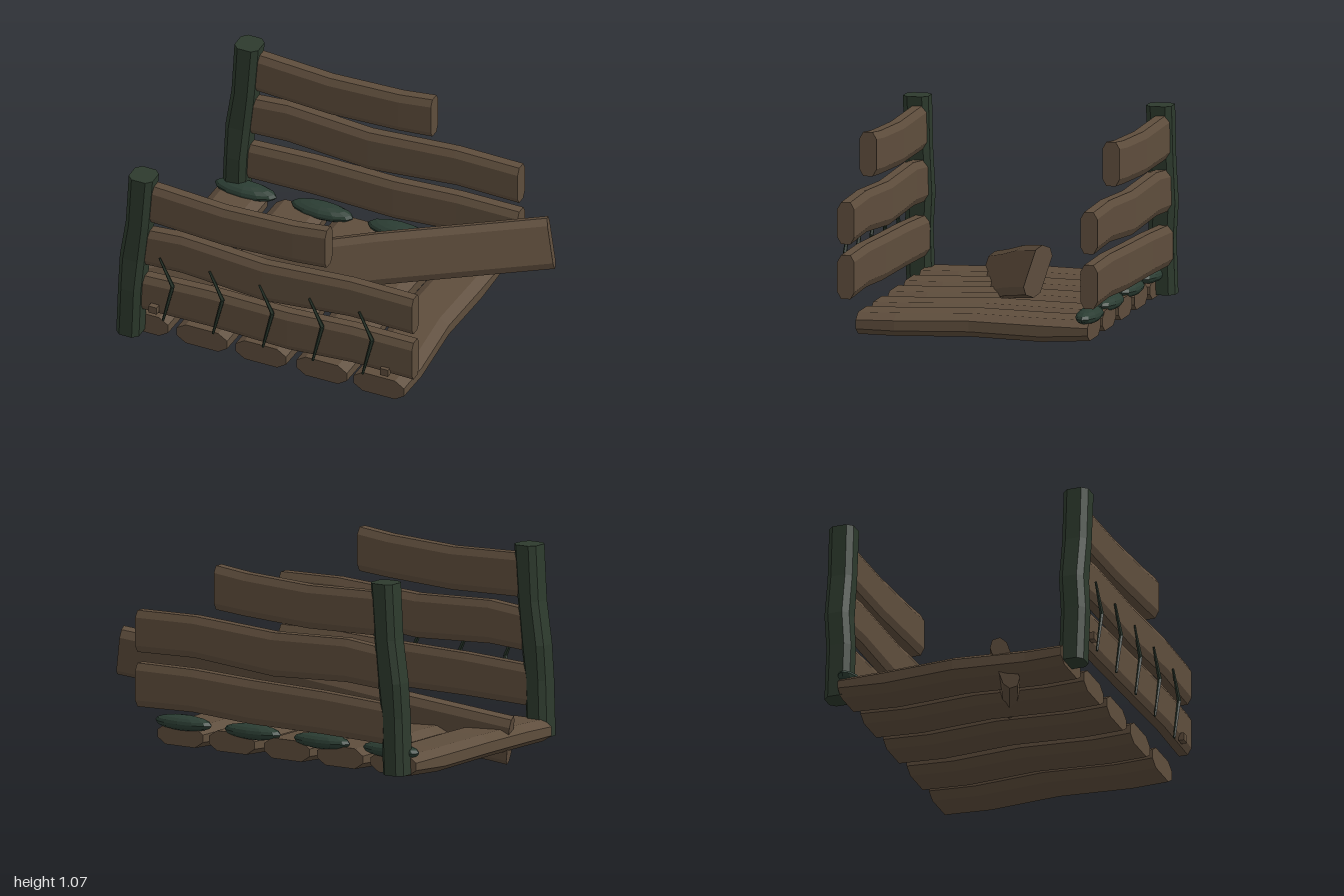
import * as THREE from 'three';

const mat = (name, color) => {
  const m = new THREE.MeshStandardMaterial({ color, flatShading: true });
  m.name = name;
  return m;
};

// Chamfered beam along local x. stations: [x, yCentre, zCentre, halfHeight]
function beam(stations, halfZ, chamferY, chamferZ) {
  const ring = ([x, cy, cz, h]) => {
    const a = h - chamferY, b = halfZ - chamferZ;
    return [[h, -b], [h, b], [a, halfZ], [-a, halfZ], [-h, b], [-h, -b], [-a, -halfZ], [a, -halfZ]]
      .map(([y, z]) => [x, cy + y, cz + z]);
  };
  const rings = stations.map(ring), pos = [];
  const tri = (a, b, c) => pos.push(...a, ...b, ...c);
  for (let i = 0; i < rings.length - 1; i++) {
    for (let j = 0; j < 8; j++) {
      const k = (j + 1) % 8, p = rings[i], q = rings[i + 1];
      tri(p[j], p[k], q[k]);
      tri(p[j], q[k], q[j]);
    }
  }
  const first = rings[0], last = rings[rings.length - 1];
  for (let j = 1; j < 7; j++) {
    tri(first[0], first[j + 1], first[j]);
    tri(last[0], last[j], last[j + 1]);
  }
  const g = new THREE.BufferGeometry();
  g.setAttribute('position', new THREE.Float32BufferAttribute(pos, 3));
  g.computeVertexNormals();
  return g;
}

export function createModel() {
  const wood = mat('weathered wood', 0x5e4d3c);
  const postWood = mat('mossy post', 0x2d3a2d);
  const moss = mat('moss', 0x2b3d33);
  const vine = mat('vine', 0x27352a);

  const model = new THREE.Group();
  model.name = 'brokenFence';
  const add = (parent, name, geometry, material) => {
    const m = new THREE.Mesh(geometry, material);
    m.name = name;
    parent.add(m);
    return m;
  };

  // Fence sides: one post and three warped rails each
  const rails = {
    lowerRail: [[-0.86, 0.365, -0.015, 0.103], [-0.45, 0.38, -0.01, 0.108], [0, 0.383, 0.005, 0.112],
      [0.35, 0.403, 0, 0.109], [0.69, 0.398, -0.002, 0.112]],
    middleRail: [[-0.86, 0.645, -0.015, 0.105], [-0.6, 0.665, -0.01, 0.11], [-0.14, 0.643, 0.005, 0.112],
      [0.34, 0.68, 0, 0.106], [0.69, 0.673, -0.002, 0.107]],
    upperRail: [[-0.84, 0.928, -0.015, 0.112], [-0.36, 0.912, 0, 0.11], [0.03, 0.93, 0.005, 0.11],
      [0.21, 0.948, 0.002, 0.113]],
  };
  const postStations = [[0.11, 0.89, 0, 0.063], [0.4, 0.877, 0.006, 0.063], [0.58, 0.868, -0.006, 0.068],
    [0.8, 0.838, -0.002, 0.063], [1.085, 0.818, 0, 0.066]];
  for (const [name, z] of [['frontSide', 0.634], ['backSide', -0.627]]) {
    const side = new THREE.Group();
    side.name = name;
    side.position.z = z;
    model.add(side);
    for (const [rail, stations] of Object.entries(rails)) {
      add(side, rail, beam(stations, 0.044, 0.035, 0.02), wood);
    }
    const post = add(side, 'post', beam(postStations, 0.066, 0.028, 0.028), postWood);
    post.rotation.z = Math.PI / 2;
  }

  // Floor planks running front to back
  const floor = new THREE.Group();
  floor.name = 'floor';
  model.add(floor);
  for (const x of [-0.845, -0.517, -0.19, 0.148, 0.465]) {
    const stations = [[-0.6, 0.152, 0, 0.052], [-0.35, 0.146, 0.004, 0.061], [0.02, 0.155, 0.014, 0.06],
      [0.4, 0.147, -0.012, 0.059], [0.6, 0.146, -0.006, 0.056]];
    const plank = add(floor, 'floorPlank', beam(stations, 0.14, 0.033, 0.05), wood);
    plank.rotation.y = -Math.PI / 2;
    plank.position.x = x;
  }

  // Loose plank fallen across the middle
  const from = new THREE.Vector3(-0.945, 0.145, 0.285), to = new THREE.Vector3(0.95, 0.513, -0.43);
  const dir = to.clone().sub(from), half = dir.length() / 2;
  dir.normalize();
  const up = new THREE.Vector3(0, 1, 0).addScaledVector(dir, -dir.y).normalize();
  const loose = add(model, 'loosePlank', beam([[-half, 0, 0, 0.133], [-half * 0.4, 0.005, 0, 0.13],
    [half * 0.15, 0.012, 0, 0.133], [half, 0, 0, 0.133]], 0.045, 0.035, 0.024), wood);
  loose.quaternion.setFromRotationMatrix(
    new THREE.Matrix4().makeBasis(dir, up, dir.clone().cross(up)));
  loose.position.copy(from).add(to).multiplyScalar(0.5);
  loose.rotateX(-0.34);

  // Moss clumps along the back edge of the floor
  for (let i = 0; i < 4; i++) {
    const clump = add(model, 'mossClump', new THREE.SphereGeometry(1, 12, 8), moss);
    clump.scale.set(0.172, 0.04, 0.061);
    clump.position.set(-0.815 + i * 0.425, 0.217, -0.576);
  }

  // Bent vines hanging on the front rails
  const segment = (parent, a, b, r0, r1) => {
    const d = b.clone().sub(a);
    const m = add(parent, 'vineStem', new THREE.CylinderGeometry(r1, r0, d.length(), 5), vine);
    m.position.copy(a).add(b).multiplyScalar(0.5);
    m.quaternion.setFromUnitVectors(new THREE.Vector3(0, 1, 0), d.normalize());
  };
  for (let i = 0; i < 5; i++) {
    const strand = new THREE.Group();
    strand.name = 'vine';
    strand.position.x = -0.632 + i * 0.277;
    model.add(strand);
    const bend = new THREE.Vector3(0, 0.485, 0.689);
    segment(strand, bend, new THREE.Vector3(-0.075, 0.635, 0.684), 0.011, 0.006);
    segment(strand, bend, new THREE.Vector3(-0.055, 0.26, 0.684), 0.011, 0.007);
  }

  // Wooden pegs on the lower front rail
  for (const x of [-0.74, 0.545]) {
    const peg = add(model, 'peg', new THREE.BoxGeometry(0.045, 0.04, 0.03), wood);
    peg.position.set(x, 0.312, 0.682);
  }

  return model;
}
